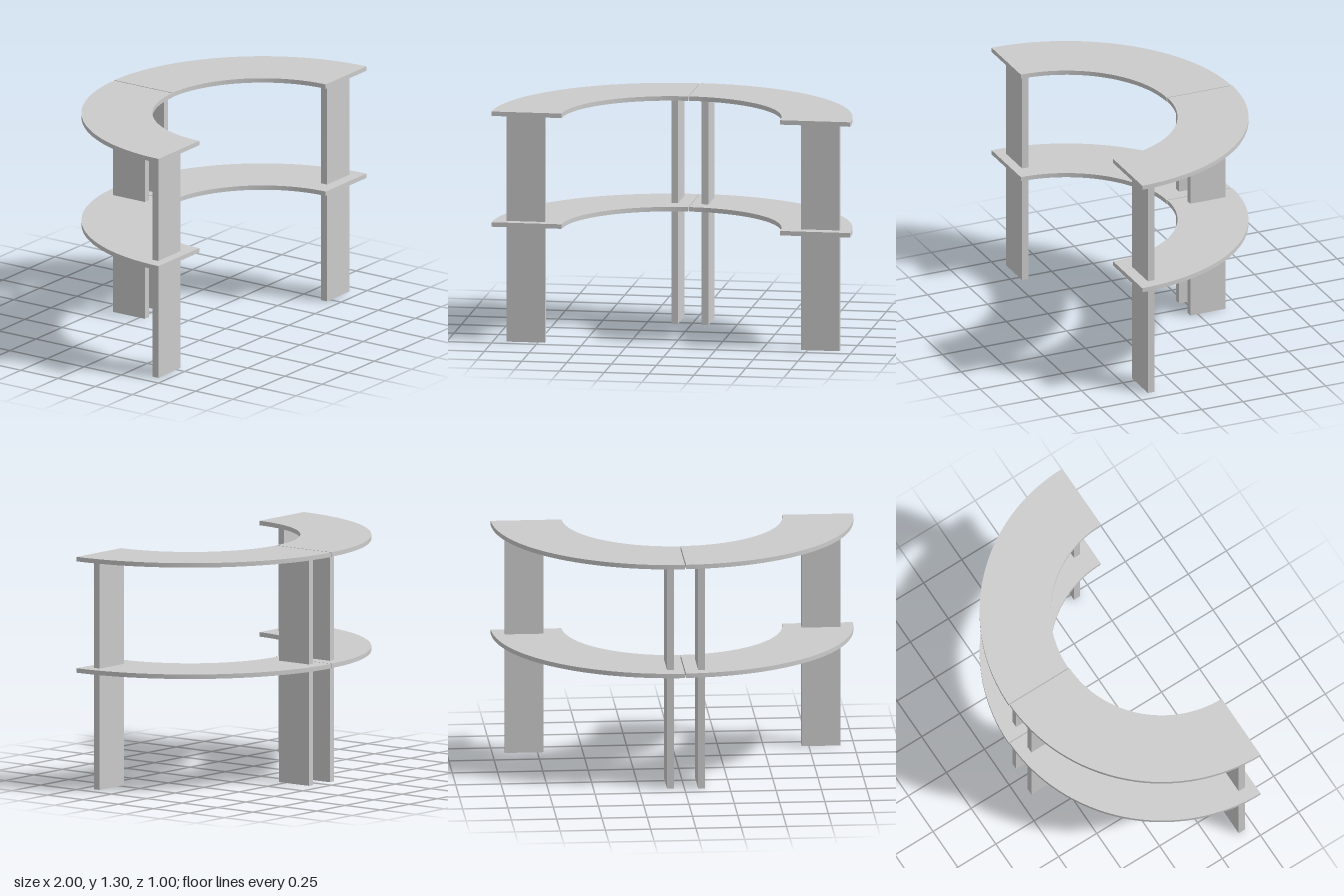
import * as THREE from 'three';
import { toCreasedNormals } from 'three/addons/utils/BufferGeometryUtils.js';

const OUTER = 0.997, INNER = 0.606, THICK = 0.025, LEG_TOP = 1.268;

export function createModel() {
  const group = new THREE.Group();
  const material = new THREE.MeshStandardMaterial({ color: 0xcccccc });
  const add = (name, geometry, x, y, z) => {
    const mesh = new THREE.Mesh(geometry, material);
    mesh.name = name;
    mesh.position.set(x, y, z);
    group.add(mesh);
  };

  // quarter-ring board between two angles, laid flat with its underside at y = 0
  const quarterBoard = (start, end) => {
    const shape = new THREE.Shape();
    shape.absarc(0, 0, OUTER, start, end, false);
    shape.absarc(0, 0, INNER, end, start, true);
    const board = new THREE.ExtrudeGeometry(shape, { depth: THICK, bevelEnabled: false, curveSegments: 16 });
    board.rotateX(-Math.PI / 2);
    return toCreasedNormals(board, 0.4);
  };

  // two quarter boards per level, with a narrow seam between them
  const leftBoard = quarterBoard(0, Math.PI / 2);
  const rightBoard = quarterBoard(Math.PI / 2, Math.PI);
  for (const [level, y] of [['lower', 0.652], ['upper', 1.273]]) {
    add(level + 'ShelfLeft', leftBoard, 0.003, y, 0.496);
    add(level + 'ShelfRight', rightBoard, -0.003, y, 0.5);
  }

  // upright panels: broad side forward at the ends, edge on at the middle
  const panel = (name, x0, x1, z0, z1) =>
    add(name, new THREE.BoxGeometry(x1 - x0, LEG_TOP, z1 - z0), (x0 + x1) / 2, LEG_TOP / 2, (z0 + z1) / 2);
  panel('endPanelLeft', 0.716, 0.93, 0.39, 0.43);
  panel('endPanelRight', -0.925, -0.711, 0.406, 0.446);
  panel('middlePanelLeft', 0.058, 0.096, -0.417, -0.205);
  panel('middlePanelRight', -0.113, -0.075, -0.428, -0.214);

  return group;
}
